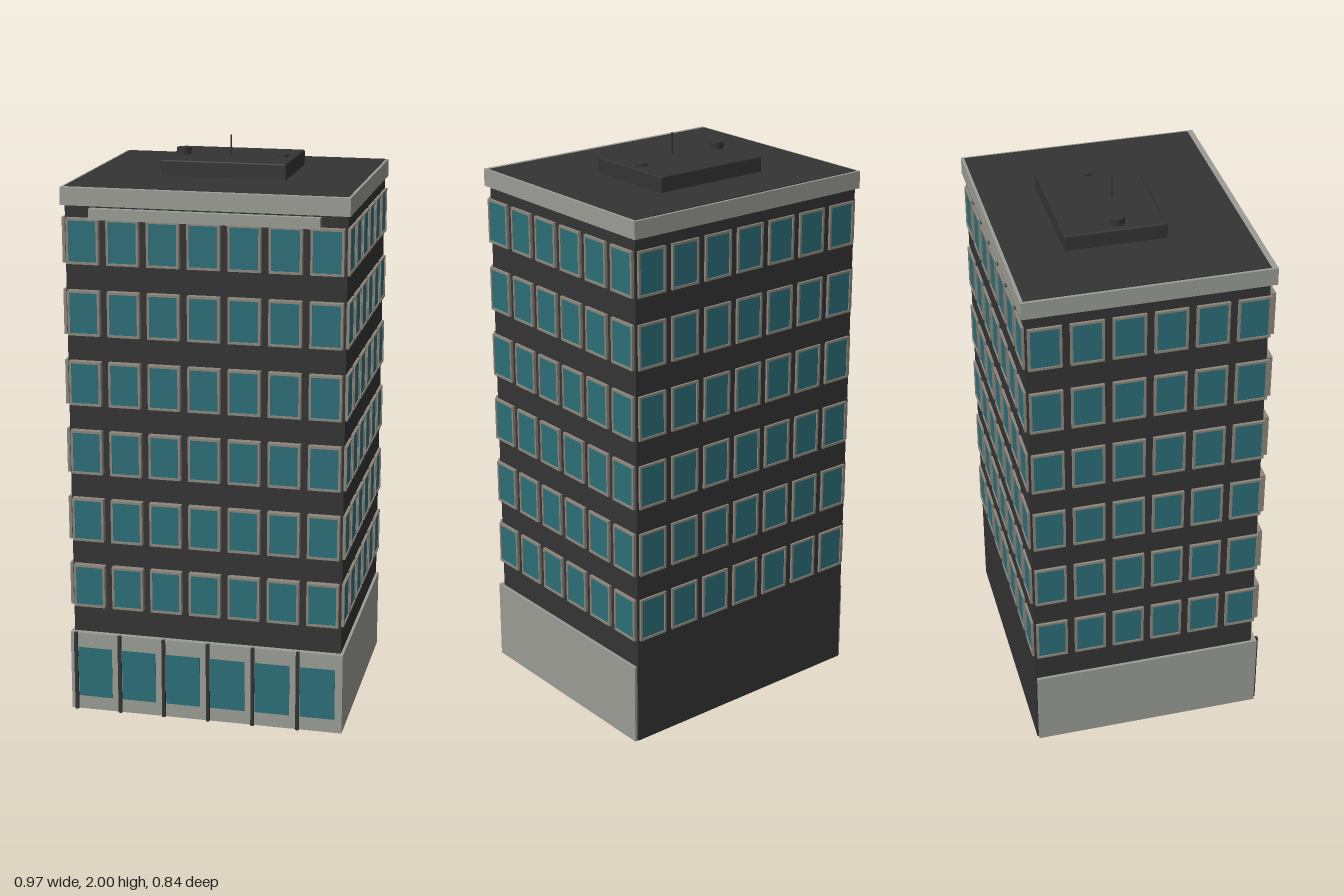
import * as THREE from 'three';
import { RoundedBoxGeometry } from 'three/addons/geometries/RoundedBoxGeometry.js';

const material = (name, color) => {
  const m = new THREE.MeshStandardMaterial({ color });
  m.name = name;
  return m;
};

export function createModel() {
  const model = new THREE.Group();
  model.name = 'officeBuilding';

  const dark = material('charcoal wall', 0x343434);
  const stone = material('pale stone', 0x9a9c95);
  const glass = material('teal glass', 0x2c6e78);
  const trim = material('taupe frame', 0x8c867c);

  const add = (parent, name, geometry, mat, x = 0, y = 0, z = 0) => {
    const mesh = new THREE.Mesh(geometry, mat);
    mesh.name = name;
    mesh.position.set(x, y, z);
    parent.add(mesh);
    return mesh;
  };
  // Box given by its extents on each axis
  const block = (name, mat, [x0, x1], [y0, y1], [z0, z1]) =>
    add(model, name, new THREE.BoxGeometry(x1 - x0, y1 - y0, z1 - z0), mat,
      (x0 + x1) / 2, (y0 + y1) / 2, (z0 + z1) / 2);

  // Main masses
  block('tower', dark, [-0.476, 0.476], [0.002, 1.83], [-0.41, 0.39]);
  block('podium', stone, [-0.486, 0.486], [0, 0.29], [-0.405, 0.41]);
  block('cornice', stone, [-0.486, 0.486], [1.81, 1.87], [-0.422, 0.411]);
  block('roofDeck', dark, [-0.476, 0.476], [1.866, 1.872], [-0.412, 0.39]);
  block('signBand', stone, [-0.388, 0.388], [1.765, 1.802], [0.39, 0.414]);

  // Upper windows: one frame and one pane shared by every opening
  const W = 0.111, H = 0.155, RIM = 0.008, DEPTH = 0.01;
  const rect = (target, w, h) => {
    target.moveTo(-w / 2, -h / 2);
    target.lineTo(w / 2, -h / 2);
    target.lineTo(w / 2, h / 2);
    target.lineTo(-w / 2, h / 2);
    target.closePath();
    return target;
  };
  const outline = rect(new THREE.Shape(), W, H);
  outline.holes.push(rect(new THREE.Path(), W - 2 * RIM, H - 2 * RIM));
  const frameGeo = new THREE.ExtrudeGeometry(outline, { depth: DEPTH, bevelEnabled: false });
  const paneGeo = new THREE.PlaneGeometry(W - 2 * RIM, H - 2 * RIM);

  const facade = (name, columns, angle, x, z, depthScale) => {
    const group = new THREE.Group();
    group.name = name;
    group.position.set(x, 0, z);
    group.rotation.y = angle;
    for (let row = 0; row < 6; row++) {
      for (let col = 0; col < columns; col++) {
        const u = (col - (columns - 1) / 2) * 0.1375;
        const y = 0.468 + row * 0.2445;
        add(group, 'windowFrame', frameGeo, trim, u, y, 0).scale.z = depthScale;
        add(group, 'windowPane', paneGeo, glass, u, y, DEPTH * depthScale - 0.004);
      }
    }
    model.add(group);
  };
  facade('frontWindows', 7, 0, 0, 0.39, 2.3);
  facade('backWindows', 7, Math.PI, 0, -0.41, 0.8);
  facade('leftWindows', 6, Math.PI / 2, 0.476, -0.004, 1);
  facade('rightWindows', 6, -Math.PI / 2, -0.476, -0.004, 1);

  // Ground floor shopfront
  for (let i = 0; i < 6; i++) {
    const x = -0.466 + i * 0.1592;
    block('mullion', dark, [x - 0.006, x + 0.006], [0, 0.29], [0.405, 0.419]);
    block('shopWindow', glass, [x + 0.008, x + 0.13], [0.05, 0.235], [0.406, 0.412]);
  }

  // Rooftop plant room, vents and mast
  add(model, 'plantRoom', new RoundedBoxGeometry(0.436, 0.06, 0.342, 1, 0.005), dark, 0, 1.895, -0.049);
  const cylinder = (name, radius, y0, y1, x, z) =>
    add(model, name, new THREE.CylinderGeometry(radius, radius, y1 - y0, 24), dark, x, (y0 + y1) / 2, z);
  cylinder('largeVent', 0.025, 1.92, 1.948, -0.173, -0.035);
  cylinder('smallVent', 0.021, 1.92, 1.932, 0.171, -0.054);
  cylinder('mast', 0.003, 1.92, 2, 0, -0.008);

  return model;
}
